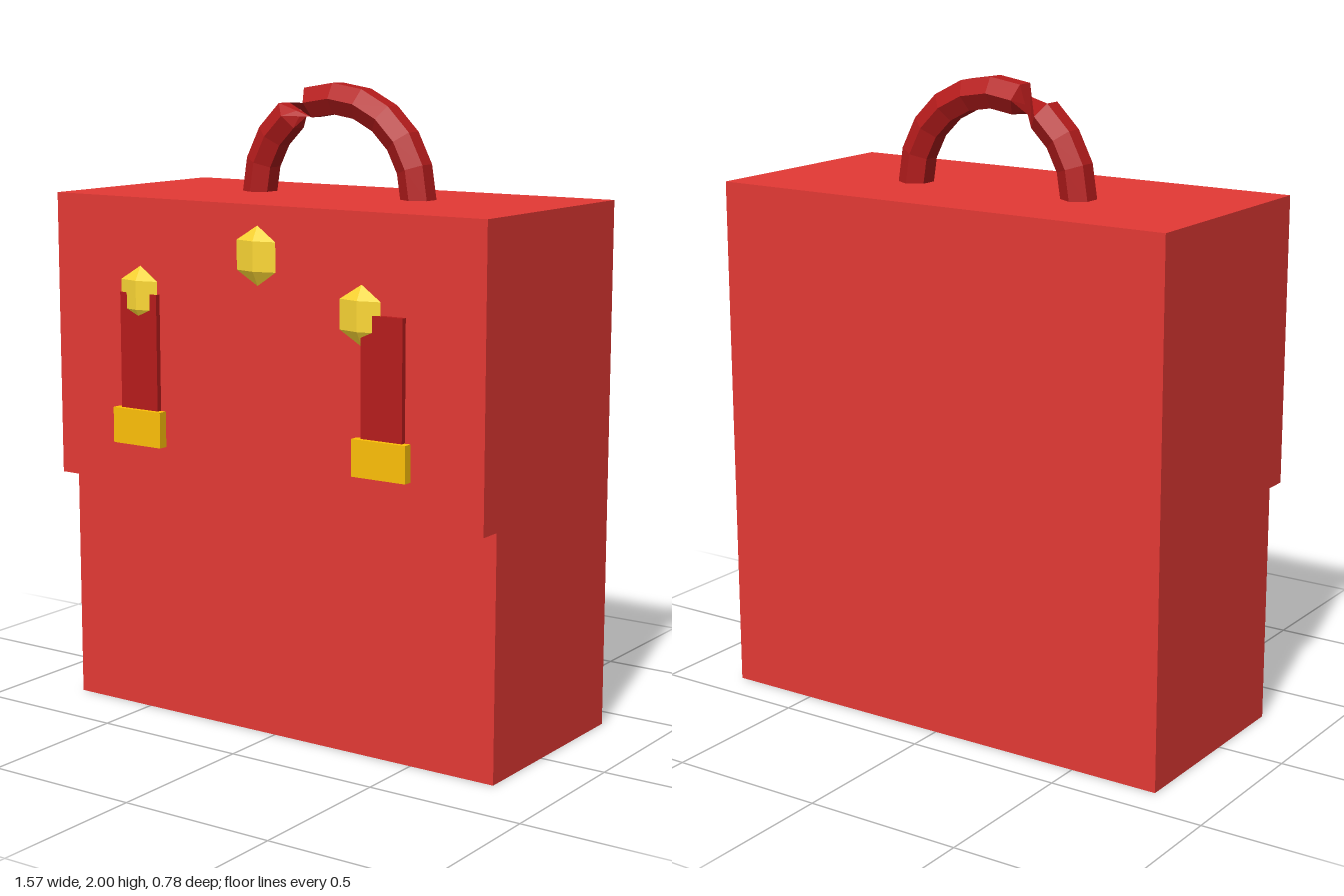
import * as THREE from 'three';

const paint = (color) => new THREE.MeshStandardMaterial({ color, flatShading: true });

export function createModel() {
  const model = new THREE.Group();
  const red = paint(0xe53935), darkRed = paint(0xb71c1c);
  const gold = paint(0xffc107), yellow = paint(0xfdd835);
  darkRed.side = THREE.DoubleSide;

  const add = (name, geometry, material, x = 0, y = 0, z = 0) => {
    const mesh = new THREE.Mesh(geometry, material);
    mesh.name = name;
    mesh.position.set(x, y, z);
    model.add(mesh);
    return mesh;
  };

  // Body with the overhanging front flap: side profile (z, y) extruded across x
  const width = 1.574;
  const profile = new THREE.Shape([
    [-0.39, 0], [0.285, 0], [0.285, 0.755], [0.358, 0.755], [0.358, 1.655], [-0.39, 1.655],
  ].map(([z, y]) => new THREE.Vector2(-z, y)));
  const bodyGeometry = new THREE.ExtrudeGeometry(profile, { depth: width, bevelEnabled: false });
  bodyGeometry.translate(0, 0, -width / 2).rotateY(Math.PI / 2);
  add('body', bodyGeometry, red);

  // Six-sided half-ring handle, given a half twist between two of its rings
  const sides = 6, steps = 10, radius = 0.298, thickness = 0.055;
  const handle = new THREE.TorusGeometry(radius, thickness, sides, steps, Math.PI);
  for (let j = 0; j <= sides; j++) {
    for (let i = 0; i <= steps; i++) {
      const u = (i / steps) * Math.PI;
      const v = (j / sides) * Math.PI * 2 + Math.PI / 2 + (i >= 7 ? Math.PI : 0);
      const r = radius + thickness * Math.cos(v);
      handle.attributes.position.setXYZ(j * (steps + 1) + i,
        r * Math.cos(u), r * Math.sin(u), thickness * Math.sin(v));
    }
  }
  handle.computeVertexNormals();
  add('handle', handle, darkRed, 0, 1.655, -0.055);

  // Straps with buckles at their lower ends
  for (const [side, s] of [['left', 1], ['right', -1]]) {
    add(side + 'Strap', new THREE.BoxGeometry(0.143, 0.46, 0.03), darkRed, s * 0.45, 1.13, 0.36);
    add(side + 'Buckle', new THREE.BoxGeometry(0.186, 0.112, 0.03), gold, s * 0.45, 0.941, 0.376);
  }

  // Flattened faceted studs
  const stud = new THREE.SphereGeometry(0.09, 5, 3).rotateY(Math.PI / 2).scale(0.96, 1, 0.32);
  add('centreStud', stud, yellow, 0, 1.504, 0.361);
  add('leftStud', stud, yellow, 0.372, 1.355, 0.361);
  add('rightStud', stud, yellow, -0.45, 1.355, 0.361);

  return model;
}
